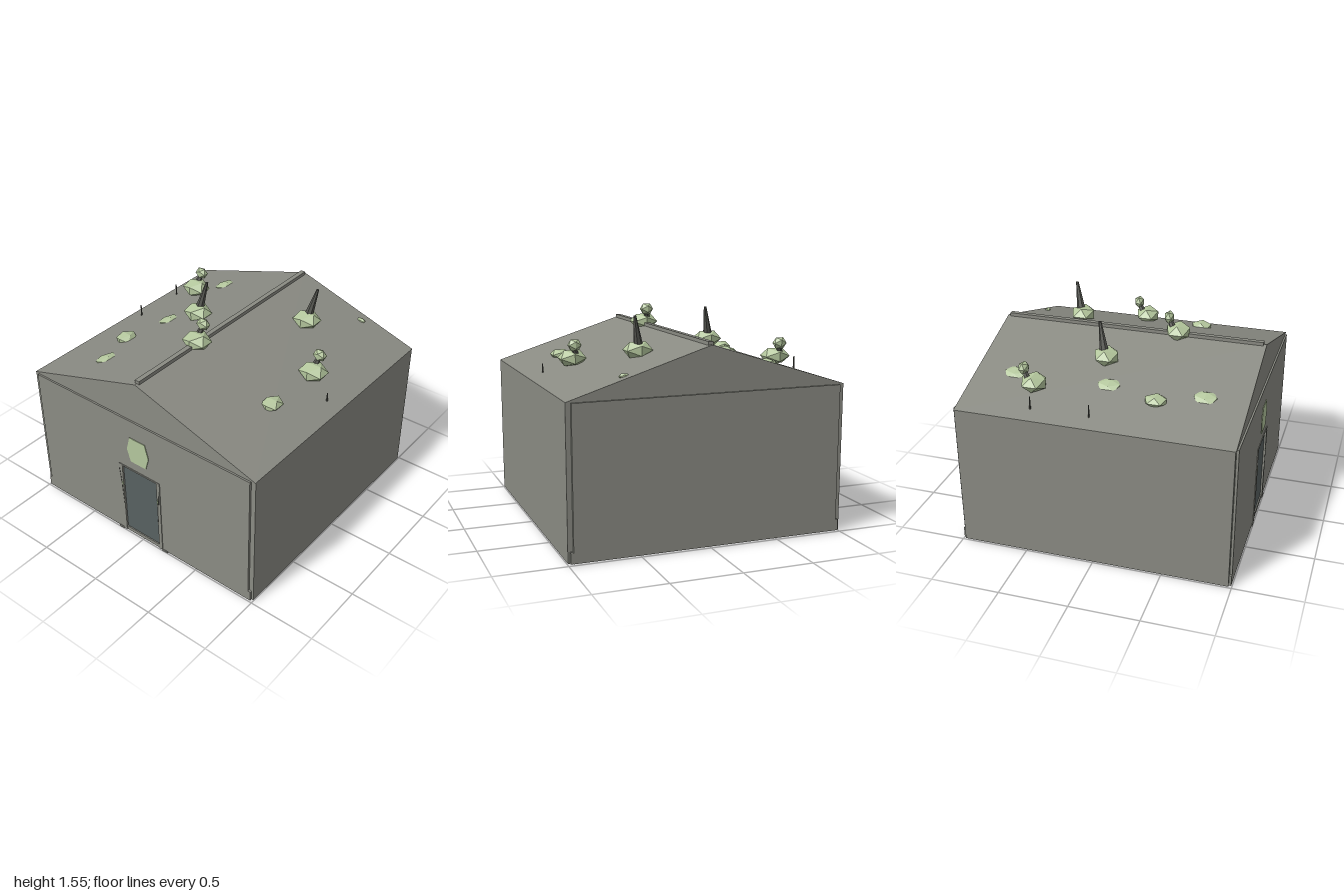
import * as THREE from 'three';

const mat = (name, color, flat = true) => {
  const m = new THREE.MeshStandardMaterial({ color, flatShading: flat });
  m.name = name;
  return m;
};

export function createModel() {
  const stone = mat('stone grey', 0x8a8b83);
  const moss = mat('pale moss green', 0xb4c79d);
  const slate = mat('door slate', 0x586161);
  const dark = mat('dark wood', 0x555650);
  const root = new THREE.Group();
  root.name = 'mossyHouse';

  const add = (name, geo, m, x = 0, y = 0, z = 0, parent = root) => {
    const mesh = new THREE.Mesh(geo, m);
    mesh.name = name;
    mesh.position.set(x, y, z);
    parent.add(mesh);
    return mesh;
  };
  const box = (name, m, w, h, d, x, y, z) => add(name, new THREE.BoxGeometry(w, h, d), m, x, y, z);
  const poly = (pts) => new THREE.Shape(pts.map(([x, y]) => new THREE.Vector2(x, y)));
  const extrude = (shape, depth) => new THREE.ExtrudeGeometry(shape, { depth, bevelEnabled: false });
  // faceted lump with given half extents
  const lump = (name, x, y, z, rx, ry, rz) => {
    const geo = new THREE.IcosahedronGeometry(1, 0).scale(rx / 0.85, ry / 0.85, rz / 0.85);
    return add(name, geo, moss, x, y, z);
  };
  // tapered rod between two points
  const rod = (name, from, to, r0, r1, sides = 6) => {
    const a = new THREE.Vector3(...from), b = new THREE.Vector3(...to);
    const dir = b.clone().sub(a);
    const mesh = add(name, new THREE.CylinderGeometry(r1, r0, dir.length(), sides), dark);
    mesh.position.copy(a).add(b).multiplyScalar(0.5);
    mesh.quaternion.setFromUnitVectors(new THREE.Vector3(0, 1, 0), dir.normalize());
    return mesh;
  };

  // walls: core, back skin and front skin with a door opening
  box('wallCore', stone, 2, 1.055, 1.956, 0, 0.5375, 0);
  box('backWall', stone, 1.93, 1.055, 0.02, 0, 0.5375, -0.988);
  const front = poly([[-0.965, 0.01], [0.965, 0.01], [0.965, 1.065], [-0.965, 1.065]]);
  front.holes.push(new THREE.Path(
    [[-0.16, 0.04], [-0.16, 0.625], [0.16, 0.625], [0.16, 0.04]].map(([x, y]) => new THREE.Vector2(x, y))));
  add('frontWall', extrude(front, 0.018), stone, 0, 0, 0.977);

  // corner base blocks
  for (const sx of [-1, 1]) for (const sz of [-1, 1]) {
    box('cornerFoot', stone, 0.02, 0.08, 0.02, sx * 0.975, 0.05, sz * 0.985);
  }

  // door and its surround
  box('door', slate, 0.32, 0.585, 0.008, 0, 0.3325, 0.982);
  box('doorLintel', stone, 0.38, 0.012, 0.006, 0, 0.631, 0.997);
  for (const s of [-1, 1]) {
    box('doorJamb', stone, 0.03, 0.585, 0.006, s * 0.175, 0.3325, 0.997);
    box('doorFoot', stone, 0.03, 0.07, 0.01, s * 0.175, 0.045, 0.995);
    box('doorStepEnd', stone, 0.045, 0.015, 0.03, s * 0.213, 0.0075, 0.985);
    const vine = poly([[s * 0.188, 0.6], [s * 0.163, 0.27], [s * 0.172, 0.45]]);
    add('doorVine', extrude(vine, 0.002), dark, 0, 0, 1);
    lump('vineLeaf', s * 0.167, 0.46, 0.999, 0.006, 0.025, 0.004);
  }

  // hexagonal plaque above the door
  const hex = poly([[-0.07, 0.71], [0.07, 0.71], [0.1, 0.81], [0.07, 0.92], [-0.07, 0.92], [-0.1, 0.81]]);
  add('plaque', extrude(hex, 0.006), moss, 0, 0, 0.994);

  // gabled roof and ridge cap
  const gable = poly([[-1, 1.065], [1, 1.065], [1, 1.07], [0, 1.385], [-1, 1.07]]);
  add('roof', extrude(gable, 1.964), stone, 0, 0, -0.982);
  box('ridgeCap', stone, 0.036, 0.035, 1.92, 0, 1.3875, 0);

  // large lumps with a stalk and a small cap
  for (const [x, y, z] of [[-0.71, 1.215, -0.5], [0.7, 1.215, -0.09], [0, 1.41, 0.34]]) {
    lump('mossClump', x, y, z, 0.094, 0.056, 0.085);
    rod('clumpStalk', [x - 0.02, y + 0.01, z - 0.03], [x, y + 0.09, z - 0.068], 0.026, 0.016);
    lump('clumpCap', x, y + 0.1, z - 0.07, 0.046, 0.04, 0.034);
  }

  // large lumps pierced by a leaning spike
  for (const [x, z] of [[0.35, -0.51], [-0.35, -0.09]]) {
    lump('spikeClump', x, 1.31, z, 0.094, 0.056, 0.085);
    rod('spike', [x - 0.005, 1.3, z - 0.01], [x + 0.042, 1.55, z - 0.06], 0.038, 0.01, 7);
  }

  // smaller lumps on both slopes
  for (const s of [-1, 1]) lump('smallClump', s * 0.67, 1.18, 0.36, 0.064, 0.037, 0.076);
  lump('tinyClump', 0.585, 1.2, -0.905, 0.034, 0.018, 0.018);

  // flat patches lying on the right slope
  for (const z of [-0.69, 0, 0.68]) {
    const p = lump('mossPatch', -0.575, 1.2, z, 0.058, 0.02, 0.08);
    p.rotation.z = Math.atan(0.315);
  }

  // thin upright sprigs near the eaves
  for (const [x, z, top] of [[-0.89, -0.46, 1.195], [-0.89, -0.04, 1.195], [0.89, 0.015, 1.17]]) {
    rod('sprig', [x, 1.09, z], [x, top, z], 0.007, 0.004, 5);
  }
  return root;
}
